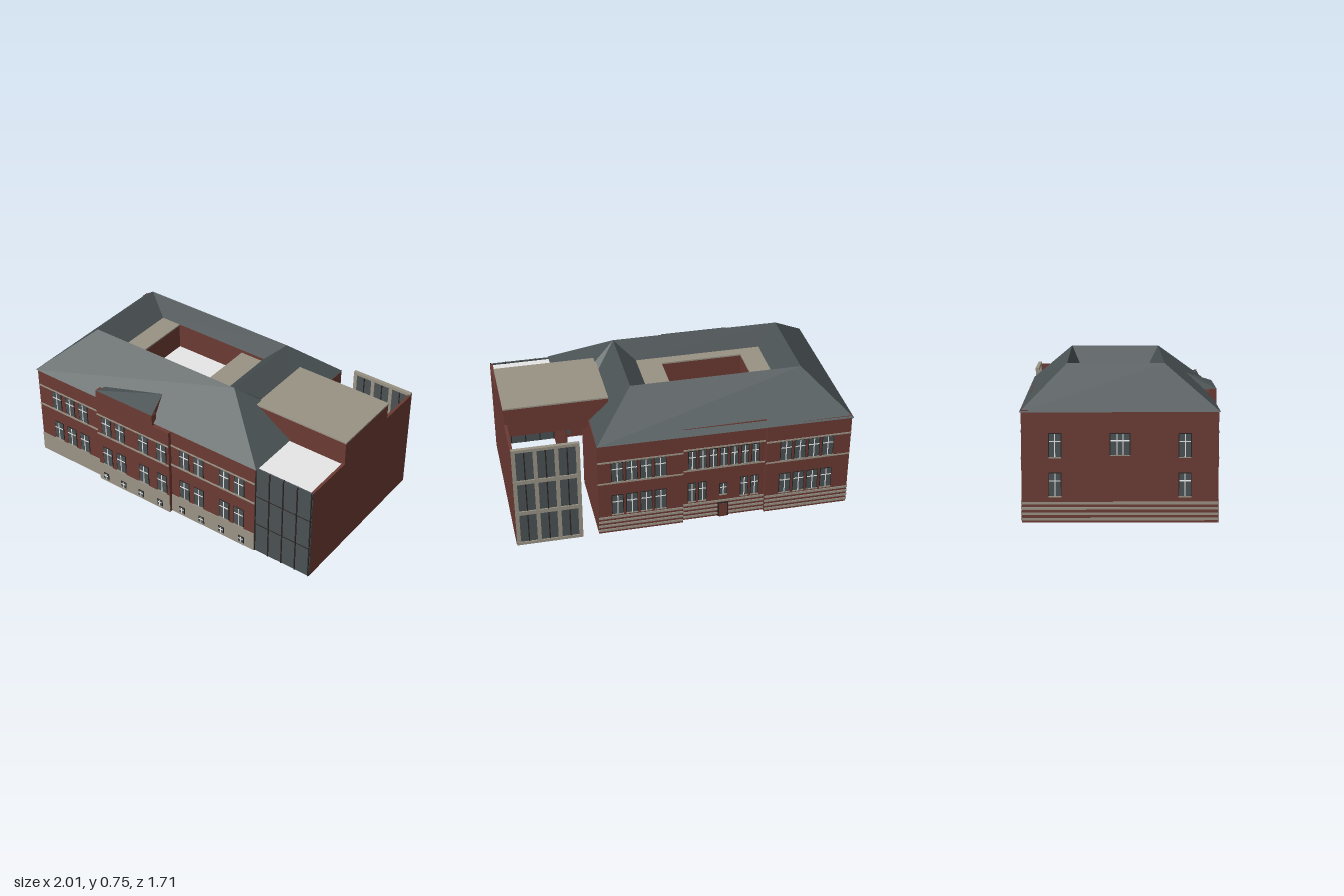
import * as THREE from 'three';

const mat = (name, color, side = THREE.FrontSide) => {
  const m = new THREE.MeshStandardMaterial({ color, side });
  m.name = name;
  return m;
};

export function createModel() {
  const brick = mat('brick red', 0x6b3a33, THREE.DoubleSide);
  const slate = mat('slate grey', 0x4a5254, THREE.DoubleSide);
  const stone = mat('beige stone', 0x999285);
  const white = mat('white', 0xffffff, THREE.DoubleSide);
  const dark = mat('dark frame', 0x2a2422);

  const model = new THREE.Group();
  model.name = 'schoolBuilding';
  // The whole plan is turned 30 degrees; everything below is in building axes.
  const plan = new THREE.Group();
  plan.name = 'building';
  plan.rotation.y = -Math.PI / 6;
  model.add(plan);

  // Box given by its limits on each axis.
  const box = (parent, name, m, x0, x1, y0, y1, z0, z1) => {
    const mesh = new THREE.Mesh(new THREE.BoxGeometry(x1 - x0, y1 - y0, z1 - z0), m);
    mesh.position.set((x0 + x1) / 2, (y0 + y1) / 2, (z0 + z1) / 2);
    mesh.name = name;
    parent.add(mesh);
    return mesh;
  };

  // Flat polygons, each a fan of corner points.
  const faces = (parent, name, m, polys) => {
    const pos = [];
    for (const p of polys)
      for (let i = 1; i < p.length - 1; i++) pos.push(...p[0], ...p[i], ...p[i + 1]);
    const g = new THREE.BufferGeometry();
    g.setAttribute('position', new THREE.Float32BufferAttribute(pos, 3));
    g.computeVertexNormals();
    const mesh = new THREE.Mesh(g, m);
    mesh.name = name;
    parent.add(mesh);
  };

  // A facade has its outer face on local z = 0, looking along +z.
  const facade = (name, x, z, turn) => {
    const g = new THREE.Group();
    g.name = name;
    g.position.set(x, 0, z);
    g.rotation.y = turn;
    plan.add(g);
    return g;
  };
  const T = 0.015;
  const wall = (g, a, b, top, out = 0) => box(g, 'wall', brick, a, b, 0, top, -T, out);
  const band = (g, a, b, y0, y1, out = 0) => box(g, 'stoneBand', stone, a, b, y0, y1, out - 0.002, out + 0.004);
  const windowAt = (g, s, y0, y1, w, out = 0, bars = 1) => {
    const win = new THREE.Group();
    win.name = 'window';
    win.position.set(s, 0, out);
    g.add(win);
    const h = w / 2, b = 0.0025;
    box(win, 'surround', dark, -h - 0.004, h + 0.004, y0 - 0.003, y1 + 0.004, -0.002, 0.002);
    box(win, 'pane', slate, -h, h, y0, y1, -T - out - 0.003, 0.004);
    for (let i = 1; i <= bars; i++) {
      const x = -h + (w * i) / (bars + 1);
      box(win, 'mullion', white, x - b, x + b, y0, y1, 0.003, 0.006);
    }
    const yt = y0 + (y1 - y0) * 0.68;
    box(win, 'transom', white, -h, h, yt - b, yt + b, 0.003, 0.006);
    box(win, 'sill', stone, -h - 0.003, h + 0.003, y0 - 0.006, y0, 0, 0.007);
  };

  // Front facade with a projecting bay
  const front = facade('frontFacade', 0, 0.47, 0);
  const frontX = (x) => (x + 0.235) / 0.866;
  const parts = [[-0.883, -0.455, 0.535, 0], [-0.455, -0.08, 0.59, 0.02],
    [-0.08, 0.025, 0.525, 0.02], [0.025, 0.552, 0.535, 0]];
  for (const [a, b, top, out] of parts) {
    wall(front, a, b, top, out);
    band(front, a, b, 0, 0.11, out);
    band(front, a, b, 0.308, 0.317, out);
    band(front, a, b, 0.434, 0.442, out);
  }
  for (const x of [-0.89, -0.81, -0.73, -0.575, -0.495, -0.36, -0.255, -0.14, -0.06, 0.08, 0.16]) {
    const out = x > -0.6 && x < -0.22 ? 0.02 : 0;
    windowAt(front, frontX(x), 0.122, 0.23, 0.056, out);
    windowAt(front, frontX(x), 0.323, 0.43, 0.056, out);
  }
  for (const x of [-0.59, -0.485, -0.38, -0.27, -0.155, -0.045, 0.065, 0.175])
    windowAt(front, frontX(x), 0.018, 0.052, 0.028, x < -0.22 ? 0.024 : 0.004);

  // Back facade with a recessed middle
  const back = facade('backFacade', 0, -0.47, Math.PI);
  const backParts = [[-0.456, -0.01, 0.545, 0], [-0.01, 0.43, 0.57, -0.02], [0.43, 0.883, 0.545, 0]];
  const stripes = (g, a, b, out) => {
    for (let i = 0; i < 4; i++) band(g, a, b, 0.012 + i * 0.026, 0.024 + i * 0.026, out);
  };
  for (const [a, b, top, out] of backParts) {
    box(back, 'wall', brick, a, b, 0, top, -0.035, out);
    stripes(back, a, b, out);
    band(back, a, b, 0.308, 0.315, out);
    band(back, a, b, 0.437, 0.445, out);
  }
  for (const start of [-0.355, 0.535])
    for (let i = 0; i < 4; i++) {
      windowAt(back, start + i * 0.075, 0.118, 0.232, 0.055);
      windowAt(back, start + i * 0.075, 0.322, 0.434, 0.055);
    }
  for (let i = 0; i < 7; i++) {
    const s = 0.04 + i * 0.056;
    windowAt(back, s, 0.322, 0.43, 0.036, -0.02);
    if (i < 2 || i > 4) windowAt(back, s, 0.118, 0.23, 0.036, -0.02);
  }
  windowAt(back, 0.208, 0.14, 0.205, 0.035, -0.02);
  box(back, 'backDoor', dark, 0.18, 0.236, 0, 0.09, -0.03, -0.012);
  box(back, 'doorPanel', brick, 0.187, 0.229, 0, 0.082, -0.03, -0.009);

  // West end wall
  const west = facade('westFacade', -0.883, 0, -Math.PI / 2);
  wall(west, -0.47, 0.47, 0.535);
  stripes(west, -0.47, 0.47, 0);
  for (const s of [-0.31, 0.31])
    for (const y of [0.13, 0.32]) windowAt(west, s, y, y + 0.11, 0.055);
  windowAt(west, 0, 0.33, 0.43, 0.09, 0, 2);

  // East ends of the back and front wings
  box(plan, 'backWingEnd', brick, 0.441, 0.456, 0, 0.545, -0.47, 0);
  box(plan, 'frontWingEnd', brick, 0.537, 0.552, 0, 0.535, 0, 0.47);

  // Hipped roof ring: eaves, ridge, then a short slope into the courtyard
  const E = 0.535, R = 0.745, I = 0.64;
  const e = [[-0.89, E, 0.478], [0.562, E, 0.478], [0.562, E, 0], [0.456, E, -0.03], [0.456, 0.545, -0.478], [-0.89, E, -0.478]];
  const r = [[-0.66, R, 0.217], [0.24, R, 0.217], [0.24, R, -0.256], [-0.66, R, -0.256]];
  const n = [[-0.551, I, 0.158], [0.129, I, 0.158], [0.129, I, -0.205], [-0.551, I, -0.205]];
  faces(plan, 'roof', slate, [
    [e[0], e[1], r[1], r[0]], [e[1], e[2], r[1]], [e[2], e[3], r[1]],
    [e[3], e[4], r[2], r[1]], [e[4], e[5], r[3], r[2]], [e[5], e[0], r[0], r[3]],
  ]);
  faces(plan, 'innerRoof', slate, r.map((p, i) => [p, r[(i + 1) % 4], n[(i + 1) % 4], n[i]]));

  // Raised roof and cheek over the front bay
  faces(plan, 'bayRoof', slate, [[[-0.455, 0.59, 0.49], [-0.08, 0.59, 0.49], [-0.115, 0.634, 0.355], [-0.44, 0.585, 0.43]]]);
  faces(plan, 'bayCheek', brick, [
    [[-0.08, 0.59, 0.49], [-0.08, 0.525, 0.49], [-0.115, 0.634, 0.355]],
    [[-0.455, 0.59, 0.49], [-0.455, 0.53, 0.49], [-0.44, 0.585, 0.43]],
  ]);

  // Courtyard: flat ledges, upper walls and pale floor
  const F = 0.49;
  box(plan, 'westLedge', stone, -0.551, -0.435, I - 0.008, I, -0.205, 0.158);
  box(plan, 'southLedge', stone, -0.435, 0, I - 0.008, I, 0.1, 0.158);
  box(plan, 'eastLedge', stone, 0, 0.129, I - 0.008, I, -0.185, 0.158);
  box(plan, 'courtyardWestWall', brick, -0.45, -0.436, F, I - 0.008, -0.205, 0.1);
  box(plan, 'courtyardSouthWall', brick, -0.45, 0.014, F, I - 0.008, 0.101, 0.115);
  box(plan, 'courtyardEastWall', brick, 0.001, 0.015, F, I - 0.008, -0.205, 0.1);
  box(plan, 'courtyardNorthWall', brick, -0.45, 0.129, F, I, -0.22, -0.206);
  box(plan, 'courtyardFloor', white, -0.436, 0.001, F, F + 0.005, -0.206, 0.101);

  // East annex: long wall, raised block and pale low roof
  box(plan, 'annexWallFront', brick, 0.87, 0.885, 0, 0.535, 0.18, 0.465);
  box(plan, 'annexWallBack', brick, 0.87, 0.885, 0, 0.575, -0.47, 0.18);
  box(plan, 'annexBlock', brick, 0.35, 0.885, 0.5, 0.662, -0.22, 0.18);
  box(plan, 'annexBlockRoof', stone, 0.348, 0.887, 0.662, 0.67, -0.222, 0.182);
  box(plan, 'annexLowRoof', white, 0.552, 0.87, 0.525, 0.53, 0.18, 0.458);

  // Front glass wall
  box(plan, 'frontGlass', slate, 0.552, 0.885, 0, 0.537, 0.458, 0.466);
  for (let i = 0; i <= 4; i++) {
    const x = 0.554 + i * 0.0815;
    box(plan, 'frontGlassPost', dark, x - 0.003, x + 0.003, 0, 0.537, 0.457, 0.47);
  }
  for (const y of [0.18, 0.36]) box(plan, 'frontGlassRail', dark, 0.552, 0.885, y - 0.002, y + 0.002, 0.457, 0.468);

  // Back glass screen, three bays by three
  const screen = facade('backGlassScreen', 0, -0.47, Math.PI);
  box(screen, 'screenGlass', slate, -0.883, -0.54, 0, 0.58, -0.008, 0);
  for (let i = 0; i <= 3; i++) {
    const x = -0.873 + i * 0.1077;
    box(screen, 'screenPost', stone, x - 0.01, x + 0.01, 0, 0.585, -0.012, 0.006);
    if (i < 3) box(screen, 'screenBar', dark, x + 0.051, x + 0.057, 0, 0.58, -0.01, 0.004);
  }
  for (const y of [0.008, 0.195, 0.385, 0.577])
    box(screen, 'screenRail', stone, -0.883, -0.54, y - 0.008, y + (y > 0.1 && y < 0.5 ? 0.014 : 0.008), -0.012, 0.007);

  return model;
}
